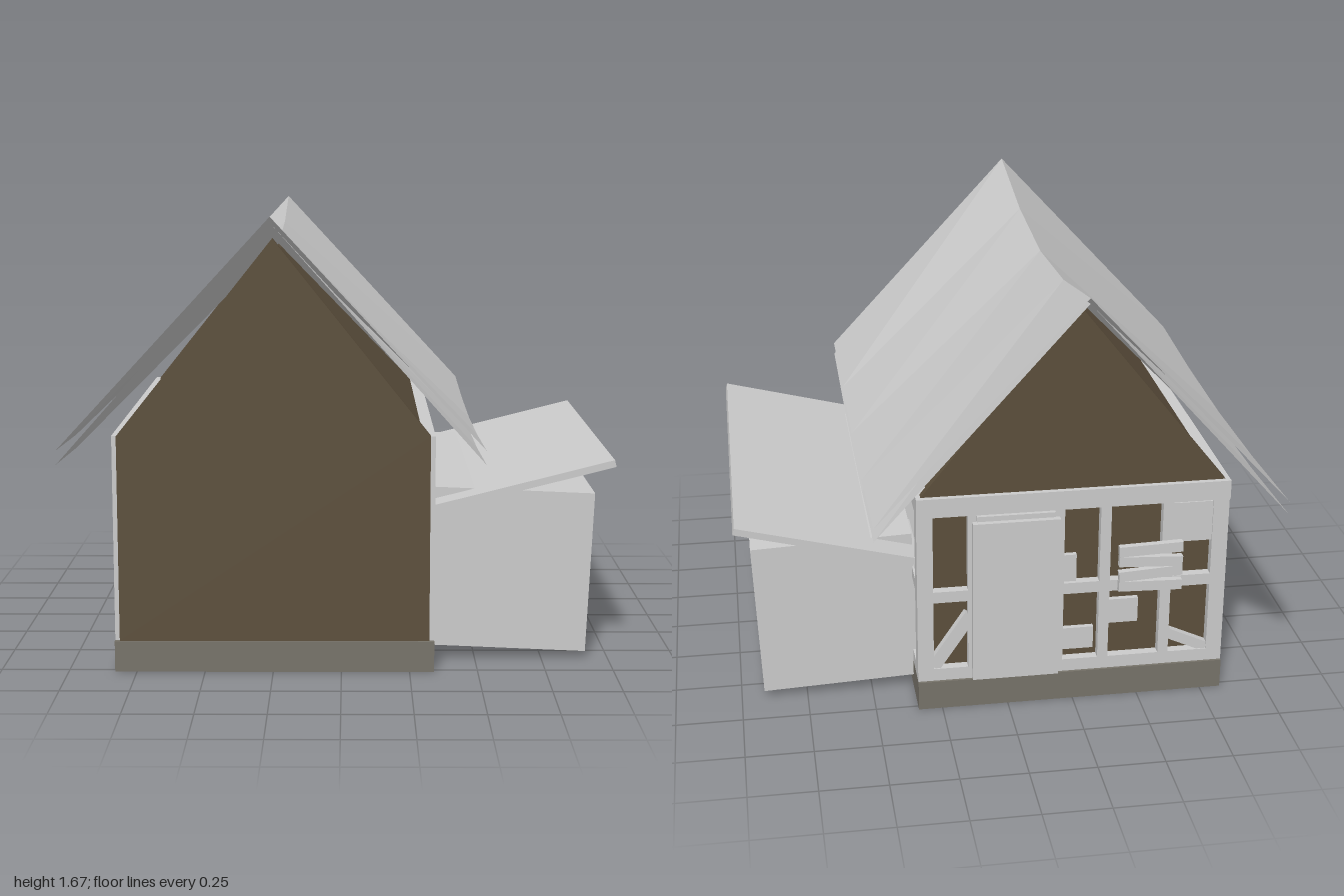
import * as THREE from 'three';

const grey = new THREE.MeshStandardMaterial({ color: 0xcccccc, flatShading: true });
const greyThin = new THREE.MeshStandardMaterial({ color: 0xcccccc, flatShading: true, side: THREE.DoubleSide });
const brown = new THREE.MeshStandardMaterial({ color: 0x5c4f3c, flatShading: true });
const stone = new THREE.MeshStandardMaterial({ color: 0x77736a, flatShading: true });

// House extents: frame outline and wall heights
const X0 = -0.83, X1 = 0.34, CX = -0.245, Z = 0.765, BASE = 0.115, TOP = 0.875;

// Box given by its minimum and maximum corners
function block(parent, name, x, y, z, mat = grey) {
  const m = new THREE.Mesh(new THREE.BoxGeometry(x[1] - x[0], y[1] - y[0], z[1] - z[0]), mat);
  m.position.set((x[0] + x[1]) / 2, (y[0] + y[1]) / 2, (z[0] + z[1]) / 2);
  m.name = name;
  parent.add(m);
  return m;
}

// Beam between two points of a wall plane facing -z
function brace(parent, a, b, z, width) {
  const dx = b[0] - a[0], dy = b[1] - a[1];
  const m = new THREE.Mesh(new THREE.BoxGeometry(Math.hypot(dx, dy), width, 0.03), grey);
  m.position.set((a[0] + b[0]) / 2, (a[1] + b[1]) / 2, z);
  m.rotation.z = Math.atan2(dy, dx);
  m.name = 'brace';
  parent.add(m);
  return m;
}

// Pentagonal house wall body, extruded along z
function gableBody(name, half, z0, z1, apex) {
  const s = new THREE.Shape([
    [-half, BASE], [half, BASE], [half, TOP], [0, apex], [-half, TOP],
  ].map(([x, y]) => new THREE.Vector2(x, y)));
  const m = new THREE.Mesh(new THREE.ExtrudeGeometry(s, { depth: z1 - z0, bevelEnabled: false }), brown);
  m.position.set(CX, 0, z0);
  m.name = name;
  return m;
}

// One sagging roof sheet: eave, ridge, eave at each station along z
function roofSheet(name, drop, ridgeDrop) {
  const stations = [[-0.945, 1.67, 0.855], [-0.47, 1.58, 0.83], [0, 1.545, 0.82], [0.47, 1.58, 0.83], [0.945, 1.67, 0.855]];
  const pos = [], idx = [];
  stations.forEach(([z, ridge, eave], i) => {
    pos.push(-1, eave - drop, z, CX, ridge - ridgeDrop, z, 0.51, eave - drop, z);
    if (i === 0) return;
    for (let k = 0; k < 2; k++) {
      const a = (i - 1) * 3 + k, b = a + 1, c = a + 3, d = a + 4;
      idx.push(a, c, b, b, c, d);
    }
  });
  const g = new THREE.BufferGeometry();
  g.setAttribute('position', new THREE.Float32BufferAttribute(pos, 3));
  g.setIndex(idx);
  g.computeVertexNormals();
  const m = new THREE.Mesh(g, greyThin);
  m.name = name;
  return m;
}

// Timber grid on a long side wall
function sideFrame(name, x, posts) {
  const f = new THREE.Group();
  f.name = name;
  for (const [y0, y1] of [[BASE, 0.165], [0.475, 0.52], [0.8, TOP]]) block(f, 'rail', x, [y0, y1], [-Z + 0.01, Z - 0.01]);
  for (const [z, w] of posts) block(f, 'post', x, [BASE, TOP], [z - w / 2, z + w / 2]);
  return f;
}

// Back wall: timber frame, door, boards
function backFrame() {
  const f = new THREE.Group();
  f.name = 'backFrame';
  const z = [-0.765, -0.71];
  block(f, 'bottomRail', [X0, X1], [BASE, 0.165], z);
  block(f, 'topRail', [X0, X1], [0.8, TOP], [-0.775, -0.71]);
  block(f, 'middleRail', [X0, X1], [0.445, 0.49], z);
  for (const [x, w] of [[X1 - 0.03, 0.06], [0.13, 0.04], [-0.19, 0.04], [-0.365, 0.04], [-0.6, 0.04], [X0 + 0.03, 0.06]])
    block(f, 'post', [x - w / 2, x + w / 2], [BASE, TOP], z);
  brace(f, [0.28, 0.17], [0.14, 0.38], -0.745, 0.05);
  brace(f, [-0.62, 0.24], [-0.77, 0.17], -0.745, 0.04);

  // Sliding door on its rail
  block(f, 'door', [-0.19, 0.135], [0.12, 0.77], [-0.79, -0.755]);
  block(f, 'doorRail', [-0.17, 0.12], [0.78, 0.8], [-0.79, -0.77]);

  // Stack of crooked boards
  for (let i = 0; i < 4; i++) {
    const b = block(f, 'signBoard', [-0.65, -0.41], [0.46 + i * 0.05, 0.5 + i * 0.05], [-0.81, -0.785]);
    b.rotation.z = [0.03, -0.06, 0.05, -0.03][i];
  }
  // Patches on the window openings
  block(f, 'patch', [-0.77, -0.6], [0.63, 0.79], [-0.76, -0.73]);
  block(f, 'patch', [-0.26, -0.2], [0.49, 0.6], [-0.75, -0.72]);
  block(f, 'patch', [-0.33, -0.2], [0.2, 0.29], [-0.75, -0.72]);
  block(f, 'patch', [-0.5, -0.38], [0.3, 0.4], [-0.75, -0.72]);
  return f;
}

export function createModel() {
  const house = new THREE.Group();
  house.name = 'house';

  block(house, 'plinth', [X0, X1], [0, BASE], [-0.775, 0.775], stone);

  // Walls: recessed core and a full front panel
  house.add(gableBody('wallCore', 0.54, -0.73, 0.75, 1.5));
  house.add(gableBody('frontWall', 0.567, 0.735, 0.768, 1.585));
  const backGable = new THREE.Mesh(new THREE.ExtrudeGeometry(new THREE.Shape([
    new THREE.Vector2(-0.567, TOP), new THREE.Vector2(0.567, TOP), new THREE.Vector2(0, 1.585),
  ]), { depth: 0.03, bevelEnabled: false }), brown);
  backGable.position.set(CX, 0, -0.755);
  backGable.name = 'backGable';
  house.add(backGable);

  // Side frames: evenly spaced windows on one side, wide openings on the other
  const rightPosts = [];
  for (let i = 0; i <= 6; i++) rightPosts.push([-0.725 + i * 1.45 / 6, i % 6 ? 0.04 : 0.06]);
  house.add(sideFrame('windowFrame', [X0, -0.78], rightPosts));
  house.add(sideFrame('annexSideFrame', [0.29, X1], [[-0.73, 0.06], [-0.36, 0.04], [0, 0.04], [0.36, 0.04], [0.73, 0.06]]));
  const sideBrace = brace(house, [0, 0], [0.26, 0.14], 0, 0.05);
  sideBrace.rotation.set(0, Math.PI / 2, 0.5, 'YXZ');
  sideBrace.position.set(0.315, 0.21, 0.59);
  house.add(backFrame());

  // Double roof skin
  house.add(roofSheet('upperRoof', 0, 0));
  house.add(roofSheet('lowerRoof', 0.05, 0.02));

  // Leaning annex with its up-tilted roof
  const annex = block(house, 'annex', [0.33, 0.93], [0.04, 0.645], [-0.605, 0.605]);
  annex.position.set(0.627, 0.344, 0);
  annex.rotation.z = -0.042;
  const shedRoof = block(house, 'annexRoof', [0, 0.69], [0, 0.026], [-0.715, 0.715]);
  shedRoof.position.set(0.662, 0.682, 0);
  shedRoof.rotation.z = 0.25;

  return house;
}
